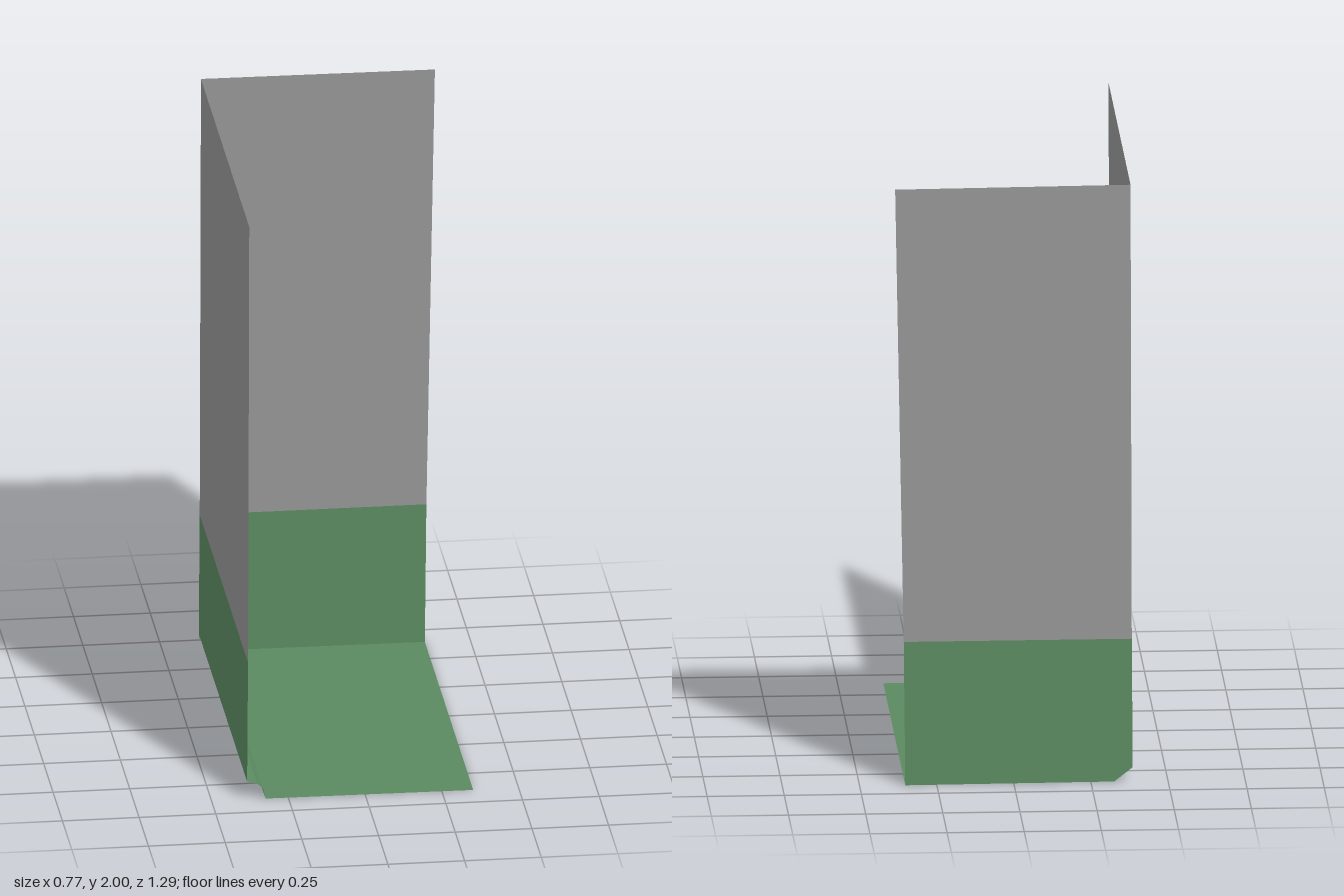
import * as THREE from 'three';

const GREY = 0x959595, GREEN = 0x5b8a60;
const Z = 0.645; // half depth

// Flat convex panel from its corners, counter-clockwise seen from the room
function panel(name, color, corners) {
  const geo = new THREE.BufferGeometry();
  geo.setAttribute('position', new THREE.Float32BufferAttribute(corners.flat(), 3));
  const index = [];
  for (let i = 1; i < corners.length - 1; i++) index.push(0, i, i + 1);
  geo.setIndex(index);
  geo.computeVertexNormals();
  const mesh = new THREE.Mesh(geo, new THREE.MeshStandardMaterial({
    color, side: THREE.DoubleSide, flatShading: true,
  }));
  mesh.name = name;
  return mesh;
}

export function createModel() {
  const group = new THREE.Group();
  group.name = 'roomCorner';

  // Floor
  group.add(panel('floor', GREEN, [
    [-0.325, 0.003, Z], [0.352, 0, Z], [0.352, 0, -Z], [-0.325, 0.003, -Z],
  ]));

  // Side wall: green dado below, grey above
  group.add(panel('sideWallLower', GREEN, [
    [-0.385, 0.065, Z], [-0.385, 0.065, -Z], [-0.382, 0.48, -Z], [-0.382, 0.48, Z],
  ]));
  group.add(panel('sideWallUpper', GREY, [
    [-0.382, 0.48, Z], [-0.382, 0.48, -Z], [-0.378, 2, -Z], [-0.378, 2, Z],
  ]));

  // Back wall, slightly wider towards the top
  group.add(panel('backWallLower', GREEN, [
    [-0.325, 0.003, -Z], [0.352, 0, -Z], [0.357, 0.48, -Z], [-0.382, 0.48, -Z], [-0.385, 0.05, -Z],
  ]));
  group.add(panel('backWallUpper', GREY, [
    [-0.382, 0.48, -Z], [0.357, 0.48, -Z], [0.385, 1.995, -Z - 0.002], [-0.378, 2, -Z],
  ]));

  // Open rounded skirting strip along the foot of the side wall
  const skirting = new THREE.Group();
  skirting.name = 'skirting';
  const profile = [[-0.385, 0.065], [-0.353, 0.058], [-0.333, 0.038], [-0.325, 0.003]];
  for (let i = 0; i < profile.length - 1; i++) {
    const a = profile[i], b = profile[i + 1];
    skirting.add(panel('skirtingFacet', GREEN, [[...a, Z], [...b, Z], [...b, -Z], [...a, -Z]]));
  }
  group.add(skirting);

  return group;
}
